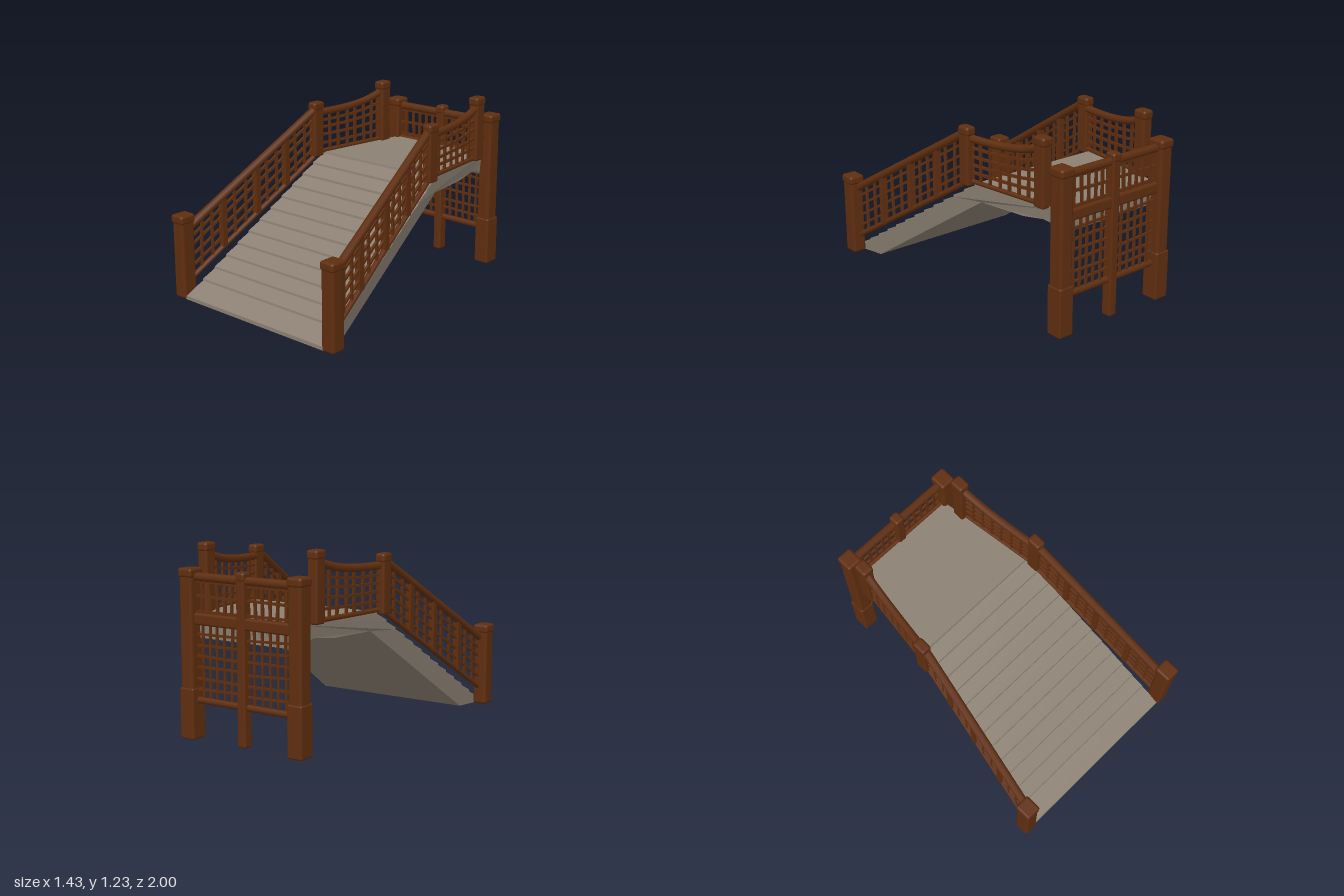
import * as THREE from 'three';
import { RoundedBoxGeometry } from 'three/addons/geometries/RoundedBoxGeometry.js';

const wood = new THREE.MeshStandardMaterial({ color: 0x5f2e0f });
wood.name = 'brownWood';
const plank = new THREE.MeshStandardMaterial({ color: 0x8b8073 });
plank.name = 'greyPlanks';

const V = (x, y, z) => new THREE.Vector3(x, y, z);

// Small seeded generator for the hand-made unevenness of the slats
let seed = 7;
const jitter = (a) => {
  seed = (seed * 16807) % 2147483647;
  return (seed / 2147483647 - 0.5) * 2 * a;
};

function add(parent, geometry, material, name) {
  const mesh = new THREE.Mesh(geometry, material);
  mesh.name = name;
  parent.add(mesh);
  return mesh;
}

// Square bar running from a to b
function bar(parent, a, b, width, name) {
  const mesh = add(parent, new THREE.BoxGeometry(width, width, a.distanceTo(b)), wood, name);
  mesh.position.copy(a).lerp(b, 0.5);
  mesh.lookAt(b);
}

// Round handrail through points
function rail(parent, points, radius, name) {
  const curve = new THREE.CatmullRomCurve3(points);
  add(parent, new THREE.TubeGeometry(curve, 12, radius, 8), wood, name);
}

// Soft-edged block between two heights
function block(parent, x, z, w, d, y0, y1, radius, name) {
  add(parent, new RoundedBoxGeometry(w, y1 - y0, d, 2, radius), wood, name)
    .position.set(x, (y0 + y1) / 2, z);
}

// Post with a wider cap and, if given, a wider foot
function post(parent, name, x, z, w, d, y0, y1, foot = 0) {
  const g = new THREE.Group();
  g.name = name;
  parent.add(g);
  block(g, x, z, w * 0.9, d * 0.9, y0, y1 - 0.015, w * 0.18, 'shaft');
  block(g, x, z, w, d, y1 - 0.06, y1, 0.018, 'cap');
  if (foot) block(g, x, z, w, d, y0, foot, 0.012, 'foot');
}

// Lattice over the surface P(u, v): thin uprights and cross slats
function lattice(parent, name, P, uprights, slats, width, wobble) {
  const g = new THREE.Group();
  g.name = name;
  parent.add(g);
  for (const u of uprights) {
    bar(g, P(u + jitter(wobble), 0), P(u + jitter(wobble), 1), width, 'upright');
  }
  for (const v of slats) {
    const a = v + jitter(0.02), b = v + jitter(0.02);
    for (let i = 0; i < 4; i++) {
      const u0 = i / 4, u1 = (i + 1) / 4;
      bar(g, P(u0, a + (b - a) * u0), P(u1, a + (b - a) * u1), width, 'slat');
    }
  }
}

// Even divisions strictly inside 0..1
const inner = (n) => Array.from({ length: n }, (_, i) => (i + 1) / (n + 1));

// Ramp and landing: stepped side profile, extruded and tapered to the rear
function deck(parent) {
  const line = (z) => 0.1 + (0.84 - z) * 0.645;
  const pts = [[0.76, 0], [0.98, 0], [0.98, 0.025]];
  const zs = [0.84];
  for (let i = 1; i <= 11; i++) zs.push(0.84 - i * 0.0964);
  pts.push([0.84, line(0.84) - 0.008]);
  for (let i = 0; i < 11; i++) {
    pts.push([zs[i] - 0.003, line(zs[i]) + 0.007], [zs[i + 1], line(zs[i + 1]) - 0.008]);
  }
  pts.push([-0.225, 0.792], [-0.92, 0.792], [-0.91, 0.64], [-0.84, 0.68],
    [-0.76, 0.692], [-0.6, 0.67], [-0.26, 0.67]);
  const shape = new THREE.Shape(pts.map(([z, y]) => new THREE.Vector2(z, y)));
  const geo = new THREE.ExtrudeGeometry(shape, { depth: 2, bevelEnabled: false });
  geo.translate(0, 0, -1).rotateY(-Math.PI / 2);
  const p = geo.attributes.position;
  for (let i = 0; i < p.count; i++) {
    const z = p.getZ(i), y = p.getY(i);
    const half = z > -0.2 ? 0.5 + (z + 0.2) * 0.102 : 0.5 + (z + 0.2) * 0.153;
    const top = z > -0.22 ? line(z) : 0.79;
    const under = y < top - 0.06 ? 0.96 : 1;
    p.setX(i, p.getX(i) * half * under);
  }
  geo.computeVertexNormals();
  add(parent, geo, plank, 'rampAndLanding');
}

// Sloped and landing railings for one side
function sideRailing(parent, s) {
  const g = new THREE.Group();
  g.name = s > 0 ? 'leftRailing' : 'rightRailing';
  parent.add(g);
  post(g, 'frontPost', s * 0.66, 0.94, 0.11, 0.12, 0, 0.57);
  post(g, 'middlePost', s * 0.505, -0.16, 0.072, 0.1, 0.77, 1.157);
  post(g, 'landingPost', s * 0.42, -0.775, 0.082, 0.1, 0.78, 1.225);

  const slope = (u, v) => {
    const y0 = 0.125 + 0.645 * u, y1 = 0.48 + 0.62 * u;
    return V(s * (0.642 - 0.14 * u), y0 + (y1 - y0) * v, 0.9 - 1.03 * u);
  };
  rail(g, [slope(0, 1), slope(0.5, 1), slope(1, 1)], 0.028, 'slopedHandrail');
  rail(g, [slope(0, 0), slope(0.5, 0), slope(1, 0)], 0.018, 'slopedBottomRail');
  const stiles = [0.25, 0.52, 0.76];
  for (const u of stiles) bar(g, slope(u, 0), slope(u, 1), 0.04, 'baluster');
  const thin = [];
  [0, ...stiles].forEach((u, i) => {
    const step = ([...stiles, 1][i] - u) / 3;
    thin.push(u + step, u + 2 * step);
  });
  lattice(g, 'slopedLattice', slope, thin, inner(4), 0.016, 0.008);

  const level = (u, v) => V(s * (0.495 - 0.07 * u),
    0.8 + (0.28 + 0.065 * u * u * u) * v, -0.19 - 0.56 * u);
  rail(g, [0, 0.25, 0.5, 0.75, 1].map((u) => level(u, 1)), 0.026, 'landingHandrail');
  rail(g, [level(0, 0), level(0.5, 0), level(1, 0)], 0.016, 'landingBottomRail');
  lattice(g, 'landingLattice', level, inner(6), inner(4), 0.016, 0.015);
}

// Rear frame: tall posts, cross rails and lattice above and below the landing
function rearFrame(parent) {
  const g = new THREE.Group();
  g.name = 'rearFrame';
  parent.add(g);
  const z = -0.94;
  post(g, 'centerPost', 0, z, 0.07, 0.08, 0, 1.08);
  rail(g, [V(-0.4, 1.025, z), V(0, 1.025, z), V(0.4, 1.025, z)], 0.028, 'topRail');
  rail(g, [V(-0.4, 0.25, z), V(0, 0.25, z), V(0.4, 0.25, z)], 0.022, 'bottomRail');
  add(g, new RoundedBoxGeometry(0.8, 0.075, 0.055, 2, 0.015), wood, 'middleRail')
    .position.set(0, 0.765, z);
  for (const s of [-1, 1]) {
    post(g, s > 0 ? 'leftRearPost' : 'rightRearPost', s * 0.415, z, 0.11, 0.12, 0, 1.08, 0.33);
    const panel = (y0, y1) => (u, v) => V(s * (0.03 + 0.345 * u), y0 + (y1 - y0) * v, z);
    lattice(g, 'upperLattice', panel(0.8, 1.02), inner(5), [0.06, 0.48, 0.9], 0.016, 0.02);
    lattice(g, 'lowerLattice', panel(0.25, 0.74), inner(5), inner(6), 0.014, 0.015);
  }
}

export function createModel() {
  const model = new THREE.Group();
  model.name = 'woodenRampBridge';
  deck(model);
  for (const s of [-1, 1]) sideRailing(model, s);
  rearFrame(model);
  return model;
}
